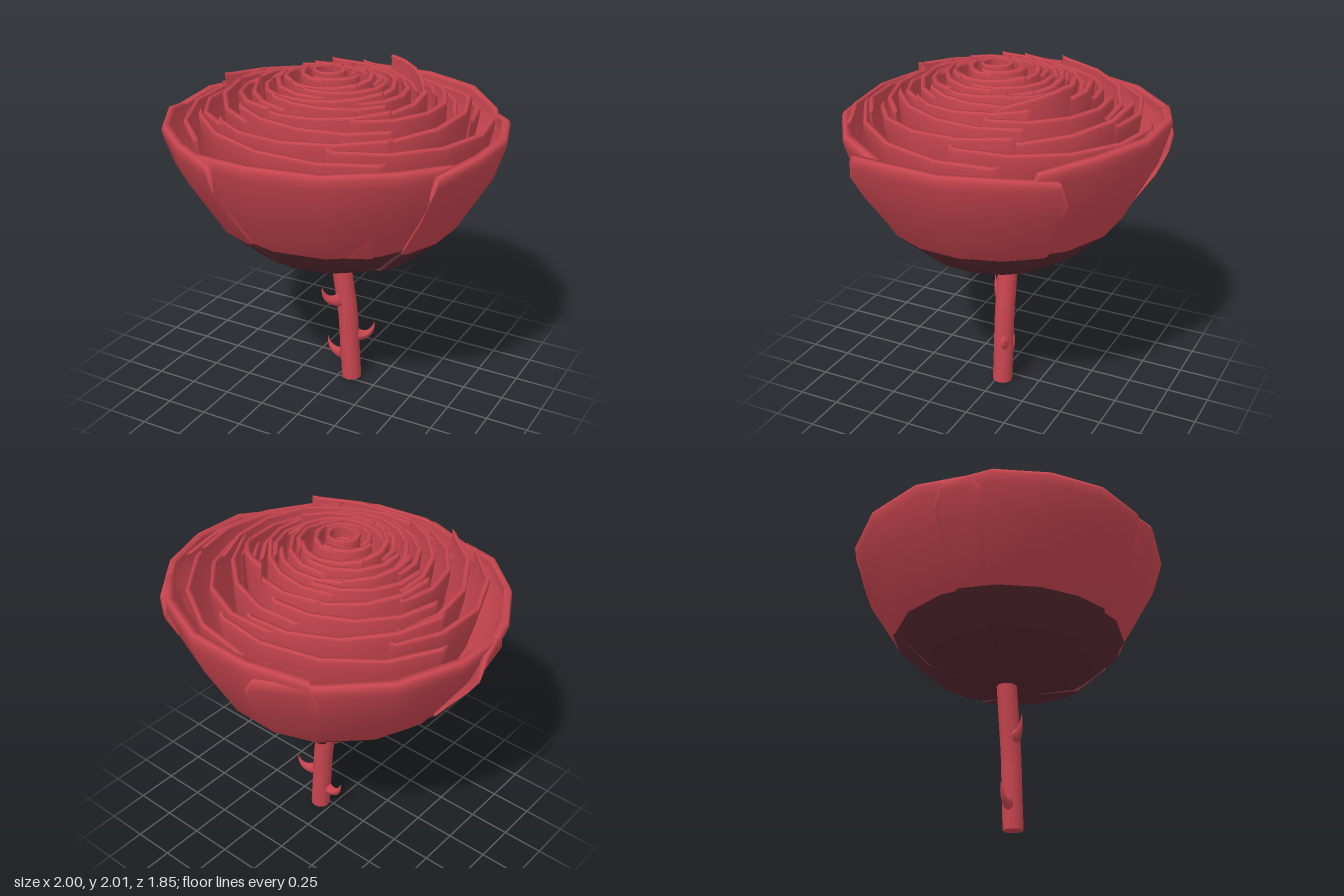
import * as THREE from 'three';

const red = new THREE.MeshStandardMaterial({ color: 0xc8454f });
red.name = 'petal red';
const dark = new THREE.MeshStandardMaterial({ color: 0x572831 });
dark.name = 'dark petal base';

const KINK = 1.13; // height where petals turn dark
const rad = THREE.MathUtils.degToRad, lerp = THREE.MathUtils.lerp;

// Side profile of a petal, [radius, height], from the flower's base to the rim
function profile(R, Y, thick) {
  const f = Math.min(1, Math.max(0, (0.97 - R) / 0.9));
  const k = lerp(0.73, 1.08, f ** 1.3) * R; // inner petals are more upright
  const lift = f * 0.22, h = Y - KINK;
  const mid = (t) => lerp(k, R, t);
  return [
    [0, 0.85 + lift], [k * 0.3, 0.85 + lift], [k * 0.7, 0.94 + lift * 0.75], [k, KINK],
    [mid(0.74), KINK + h * 0.57], [mid(0.95), KINK + h * 0.86],
    [R, Y - thick * 0.8], [R - thick * 0.35, Y],
  ];
}

// Thick curved petal: columns run across it, rows go up the outside and down the inside
function petal({ R, Y, angle, half, thick, startOut = 0, endOut = 0, corner = 0, tilt = 0, cx = 0, cz = 0 }) {
  const outer = profile(R, Y, thick);
  const inner = outer.map(([r, y], j) => [Math.max(0, r - thick), j < 4 ? y + 0.02 : y]).reverse();
  const rows = [...outer, ...inner];
  const cols = [-1, -0.94, -0.5, 0, 0.5, 0.94, 1];
  const n = rows.length, pos = [];
  cols.forEach((s, i) => {
    const edge = i === 0 || i === cols.length - 1;
    const a = rad(angle + s * half);
    const out = lerp(startOut, endOut, (s + 1) / 2);
    rows.forEach((row, j) => {
      const [r0, y0] = edge && j >= outer.length ? outer[n - 1 - j] : row;
      const up = Math.max(0, (y0 - KINK) / (Y - KINK));
      const drop = (corner * s ** 6 + (edge ? corner * 1.6 : 0) + tilt * s) * up ** 2;
      const shift = out * Math.min(1, r0 / (R * 0.5));
      const r = Math.max(0, r0 + shift - (edge ? thick * 0.4 * Math.min(1, r0 / R) : 0));
      pos.push(cx * up + r * Math.cos(a), y0 - drop, cz * up + r * Math.sin(a) * 0.97);
    });
  });
  const upper = [], base = [];
  for (let i = 0; i < cols.length - 1; i++) {
    for (let j = 0; j < n - 1; j++) {
      const p = i * n + j, q = p + n;
      const low = j < 3 || j >= n - 4;
      (low ? base : upper).push(p, p + 1, q, q, p + 1, q + 1);
    }
  }
  const g = new THREE.BufferGeometry();
  g.setAttribute('position', new THREE.Float32BufferAttribute(pos, 3));
  g.setIndex([...upper, ...base]);
  g.addGroup(0, upper.length, 0);
  g.addGroup(upper.length, base.length, 1);
  g.computeVertexNormals();
  return new THREE.Mesh(g, [red, dark]);
}

// Hooked thorn: a cone bent upward along an arc
function thorn(x, y, z, heading, size) {
  const g = new THREE.ConeGeometry(1, 1, 8, 7);
  const p = g.attributes.position;
  for (let i = 0; i < p.count; i++) {
    const t = p.getY(i) + 0.5, bend = t * 1.75 - 0.25;
    const w = 0.4 * size, up = p.getX(i) * w, side = p.getZ(i) * w * 0.7;
    const cOut = size * Math.sin(t * 1.5) * 0.95;
    const cUp = size * (1.15 * t * t - 0.25 * t);
    p.setXYZ(i, cOut - up * Math.sin(bend), cUp + up * Math.cos(bend), side);
  }
  // the bend mirrors the cone, so flip the triangles back
  const idx = g.index.array;
  for (let i = 0; i < idx.length; i += 3) [idx[i], idx[i + 1]] = [idx[i + 1], idx[i]];
  g.computeVertexNormals();
  const m = new THREE.Mesh(g, red);
  m.position.set(x, y, z);
  m.rotation.y = -rad(heading);
  m.name = 'thorn';
  return m;
}

export function createModel() {
  const rose = new THREE.Group();
  rose.name = 'rose';
  const add = (mesh, name) => { mesh.name = name; rose.add(mesh); };

  // Five overlapping outer petals: [angle, half width, rim radius, rim height, start offset, end offset, corner drop]
  [[68, 50, 0.965, 1.7, -0.03, -0.01, 0.04], [-7, 40, 0.975, 1.7, 0.005, 0, 0.06],
    [-80, 45, 0.965, 1.755, 0.03, -0.02, 0.06], [-148, 46, 1.02, 1.7, 0, -0.03, 0.04],
    [143, 38, 1.02, 1.7, -0.04, 0.01, 0.07]].forEach(([angle, half, R, Y, startOut, endOut, corner]) =>
    add(petal({ R, Y, angle, half, thick: 0.035, startOut, endOut, corner }), 'outerPetal'));

  // Inner whorls, rising toward the bud: [rim radius, rim height, petal count]
  [[0.84, 1.75, 5], [0.73, 1.795, 5], [0.62, 1.84, 5], [0.52, 1.87, 5], [0.44, 1.895, 5],
    [0.375, 1.915, 5], [0.31, 1.935, 4], [0.25, 1.955, 4], [0.165, 1.978, 4],
    [0.095, 1.995, 3]].forEach(([R, Y, count], k) => {
    const c = Math.min(1, (k + 1) / 5);
    for (let i = 0; i < count; i++) {
      add(petal({
        R, Y: Y + (i % 2) * 0.012 * Math.min(1, R * 2), angle: k * 137.5 + 20 + i * 360 / count, half: 230 / count,
        thick: Math.min(0.02, R * 0.15), startOut: R * 0.07, endOut: -R * 0.06,
        corner: R * -0.008, tilt: R * 0.035 * (k % 2 ? 1 : -1),
        cx: -0.03 * c, cz: 0.05 * c,
      }), 'innerPetal');
    }
  });

  // One petal standing above its neighbours
  add(petal({ R: 0.49, Y: 1.945, angle: -50, half: 27, thick: 0.02, corner: 0.01, tilt: 0.035 }), 'raisedPetal');

  // Heart of the bud
  const heart = new THREE.Mesh(new THREE.CylinderGeometry(0.045, 0.06, 0.5, 7), red);
  heart.position.set(-0.03, 1.7, 0.05);
  add(heart, 'budHeart');

  // Stem, bending under the flower
  const path = new THREE.CatmullRomCurve3([[0.08, 0], [0.065, 0.22], [0.05, 0.45], [0.02, 0.65], [-0.01, 0.85], [-0.025, 0.95]]
    .map(([x, y]) => new THREE.Vector3(x, y, -0.035)));
  add(new THREE.Mesh(new THREE.TubeGeometry(path, 14, 0.06, 12), red), 'stem');
  const cap = new THREE.Mesh(new THREE.CircleGeometry(0.06, 12), red);
  cap.rotation.x = Math.PI / 2;
  cap.position.set(0.08, 0.002, -0.035);
  add(cap, 'stemEnd');

  rose.add(thorn(0.015, 0.54, 0.01, 137, 0.115));
  rose.add(thorn(0.105, 0.285, -0.06, -28, 0.11));
  rose.add(thorn(0.015, 0.145, -0.035, 180, 0.11));
  return rose;
}
